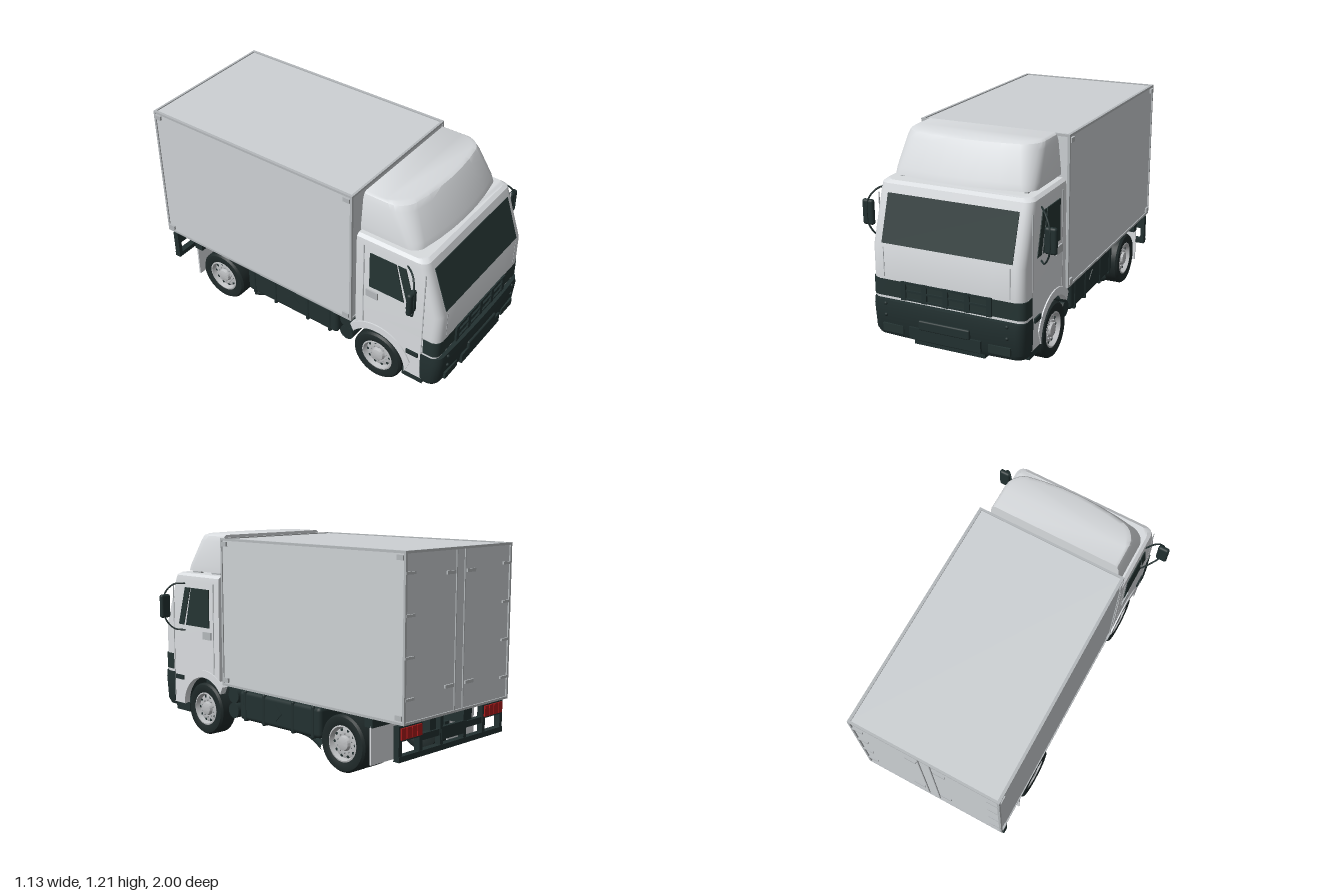
import * as THREE from 'three';
import { toCreasedNormals } from 'three/addons/utils/BufferGeometryUtils.js';
import { RoundedBoxGeometry } from 'three/addons/geometries/RoundedBoxGeometry.js';

const mat = (name, color, side = THREE.FrontSide) =>
  Object.assign(new THREE.MeshStandardMaterial({ color, side }), { name });
const M = {
  cab: mat('cab paint', 0xd9dcdf),
  box: mat('cargo panel', 0xcdd1d4),
  trim: mat('grey trim', 0xb4b8bb),
  rim: mat('wheel rim', 0xbcbec0, THREE.DoubleSide),
  dark: mat('dark plastic', 0x223030),
  glass: mat('tinted glass', 0x253433),
  tire: mat('tire rubber', 0x1f2929),
  red: mat('red lamp', 0xa81a1a),
};

const V = (x, y, z) => new THREE.Vector3(x, y, z);

function add(parent, name, geo, material, x = 0, y = 0, z = 0) {
  const m = new THREE.Mesh(geo, material);
  m.name = name;
  m.position.set(x, y, z);
  parent.add(m);
  return m;
}

// box given by its min and max on every axis
const block = (p, name, material, x0, x1, y0, y1, z0, z1) =>
  add(p, name, new THREE.BoxGeometry(Math.abs(x1 - x0), y1 - y0, Math.abs(z1 - z0)), material,
    (x0 + x1) / 2, (y0 + y1) / 2, (z0 + z1) / 2);

// stacked plan sections [y, halfWidth, zFront, zBack, cornerRadius, bow], rounded at the front
function loft(levels, crease = 0.5) {
  const pos = [], idx = [];
  let n = 0;
  for (const [y, w, zf, zb, r, bow = 0] of levels) {
    const ring = [];
    for (let i = 0; i <= 5; i++) {
      const a = Math.PI - (i / 5) * Math.PI / 2;
      ring.push([-(w - r) + r * Math.cos(a), zf - r + r * Math.sin(a)]);
    }
    for (let i = 1; i < 6; i++) ring.push([(w - r) * (i / 3 - 1), zf]);
    for (let i = 0; i <= 5; i++) {
      const a = (1 - i / 5) * Math.PI / 2;
      ring.push([w - r + r * Math.cos(a), zf - r + r * Math.sin(a)]);
    }
    for (const q of ring) q[1] -= bow * (q[0] / w) ** 2;
    ring.push([w, zb], [-w, zb]);
    n = ring.length;
    for (const [x, z] of ring) pos.push(x, y, z);
  }
  const top = (levels.length - 1) * n;
  for (let i = 0; i < levels.length - 1; i++) for (let j = 0; j < n; j++) {
    const a = i * n + j, b = i * n + (j + 1) % n;
    idx.push(a, b, b + n, a, b + n, a + n);
  }
  for (let j = 1; j < n - 1; j++) idx.push(top, top + j, top + j + 1, 0, j + 1, j);
  const g = new THREE.BufferGeometry();
  g.setAttribute('position', new THREE.Float32BufferAttribute(pos, 3));
  g.setIndex(idx);
  return toCreasedNormals(g, crease);
}

// side plate: shape drawn as (z, y), centred on x = c
function plate(shape, c, depth) {
  const s = Array.isArray(shape) ? new THREE.Shape(shape.map(p => new THREE.Vector2(...p))) : shape;
  return new THREE.ExtrudeGeometry(s, { depth, bevelEnabled: false, curveSegments: 20 })
    .rotateY(-Math.PI / 2).translate(c + depth / 2, 0, 0);
}

const tube = (pts, r) => new THREE.TubeGeometry(new THREE.CatmullRomCurve3(pts), 28, r, 10, false);
const lathe = pts => toCreasedNormals(
  new THREE.LatheGeometry(pts.map(p => new THREE.Vector2(...p)), 40).rotateZ(-Math.PI / 2), 0.6);

function wheel(parent, name, s, z, dual) {
  const g = new THREE.Group();
  g.name = name;
  g.position.set(s * 0.383, 0.157, z);
  if (s < 0) g.rotation.y = Math.PI;
  parent.add(g);
  const tireGeo = lathe([[0.098, -0.052], [0.125, -0.062], [0.147, -0.058], [0.157, -0.045],
    [0.157, 0.045], [0.147, 0.058], [0.125, 0.062], [0.098, 0.052], [0.098, -0.052]]);
  const rimGeo = lathe([[0.098, -0.05], [0.09, 0], [0.1, 0.054], [0.092, 0.056], [0.082, 0.03],
    [0.066, 0.036], [0.042, 0.034], [0.036, 0.052], [0.022, 0.056], [0.001, 0.057]]);
  for (let i = 0; i < (dual ? 2 : 1); i++) {
    add(g, 'tire', tireGeo, M.tire, -i * 0.13);
    add(g, 'rim', rimGeo, M.rim, -i * 0.13);
  }
  for (let i = 0; i < 10; i++) {
    const a = i * Math.PI / 5, b = a + Math.PI / 10;
    add(g, 'wheelBolt', new THREE.CylinderGeometry(0.005, 0.005, 0.012, 6).rotateZ(Math.PI / 2), M.trim,
      0.038, 0.052 * Math.cos(a), 0.052 * Math.sin(a));
    add(g, 'rimHole', new THREE.CylinderGeometry(0.008, 0.008, 0.006, 10).rotateZ(Math.PI / 2), M.dark,
      0.033, 0.073 * Math.cos(b), 0.073 * Math.sin(b));
  }
}

function buildCab(p) {
  add(p, 'cabShell', loft([[0.46, 0.443, 0.963, 0.43, 0.05], [0.64, 0.443, 0.963, 0.43, 0.05],
    [0.925, 0.441, 0.867, 0.43, 0.05], [0.955, 0.438, 0.857, 0.43, 0.05], [0.97, 0.42, 0.835, 0.43, 0.05]]), M.cab);
  add(p, 'windshield', new THREE.BoxGeometry(0.755, 0.264, 0.008), M.glass, 0, 0.785, 0.915).rotation.x = -0.323;
  // roof air deflector on small feet
  add(p, 'roofDeflector', loft([[0.985, 0.41, 0.825, 0.435, 0.06, 0.05], [1.02, 0.41, 0.815, 0.435, 0.07, 0.05],
    [1.17, 0.395, 0.74, 0.435, 0.09, 0.05], [1.2, 0.385, 0.722, 0.435, 0.09, 0.05],
    [1.21, 0.37, 0.70, 0.435, 0.09, 0.05]], 0.6), M.cab);
  for (const x of [-0.36, -0.14, 0.14, 0.36]) for (const z of [0.5, 0.68])
    block(p, 'deflectorFoot', M.trim, x - 0.01, x + 0.01, 0.965, 0.99, z, z + 0.08);
  // headlamp and grille band
  add(p, 'frontBand', loft([[0.345, 0.443, 0.955, 0.86, 0.04], [0.465, 0.443, 0.955, 0.86, 0.04]]), M.cab);
  add(p, 'headlampBand', loft([[0.365, 0.446, 0.962, 0.872, 0.04], [0.462, 0.446, 0.962, 0.872, 0.04]]), M.glass);
  for (let i = 0; i < 5; i++)
    block(p, 'grilleBar', M.dark, -0.264 + i * 0.125, -0.236 + i * 0.125, 0.362, 0.466, 0.955, 0.974);
  for (const y of [0.364, 0.41, 0.454]) block(p, 'grilleSlat', M.dark, -0.26, 0.26, y, y + 0.011, 0.955, 0.972);
  // bumper
  add(p, 'bumper', loft([[0.14, 0.435, 0.965, 0.87, 0.05, 0.015], [0.17, 0.445, 0.98, 0.865, 0.05, 0.015],
    [0.31, 0.447, 0.992, 0.86, 0.05, 0.015], [0.348, 0.445, 0.988, 0.86, 0.05, 0.015]]), M.dark);
  block(p, 'bumperPlate', M.dark, -0.21, 0.21, 0.16, 0.225, 0.96, 0.993);
  add(p, 'numberPlateHolder', new RoundedBoxGeometry(0.3, 0.055, 0.02, 2, 0.008), M.dark, 0, 0.248, 0.99);
  block(p, 'bumperStep', M.dark, -0.21, 0.21, 0.105, 0.145, 0.86, 0.94);
  block(p, 'cabFloor', M.dark, -0.41, 0.41, 0.39, 0.462, 0.44, 0.87);
  block(p, 'engine', M.dark, -0.2, 0.2, 0.14, 0.4, 0.36, 0.86);

  for (const s of [1, -1]) {
    // lower side with wheel arch
    const side = new THREE.Shape();
    side.moveTo(0.43, 0.47);
    side.lineTo(0.43, 0.283);
    side.absarc(0.575, 0.16, 0.19, Math.PI - 0.703, 0, true);
    side.lineTo(0.87, 0.16);
    side.lineTo(0.87, 0.47);
    add(p, 'lowerSide', plate(side, s * 0.428, 0.03), M.cab);
    const lip = new THREE.Shape();
    lip.absarc(0.575, 0.16, 0.235, 0.35, 2.42, false);
    lip.absarc(0.575, 0.16, 0.19, 2.52, 0.0, true);
    add(p, 'archLip', plate(lip, s * 0.43, 0.04), M.cab);
    const liner = new THREE.CylinderGeometry(0.195, 0.195, 0.22, 24, 1, true, Math.PI * 0.04, Math.PI * 0.76);
    const linerMesh = add(p, 'archLiner', liner.rotateZ(Math.PI / 2), M.rim, s * 0.31, 0.16, 0.575);
    linerMesh.rotation.x = -Math.PI / 2 + 0.12;
    linerMesh.visible = false;
    p.remove(linerMesh);
    // windows and door details
    add(p, 'quarterWindow', plate([[0.81, 0.655], [0.76, 0.655], [0.695, 0.885], [0.743, 0.885]], s * 0.443, 0.008), M.glass);
    add(p, 'doorWindow', plate([[0.74, 0.655], [0.519, 0.655], [0.519, 0.885], [0.684, 0.885]], s * 0.443, 0.008), M.glass);
    for (const [z, y0, y1] of [[0.48, 0.38, 0.92], [0.862, 0.2, 0.9]])
      block(p, 'doorSeam', M.trim, s * 0.441, s * 0.445, y0, y1, z - 0.003, z + 0.003);
    block(p, 'doorHandle', M.trim, s * 0.44, s * 0.452, 0.585, 0.63, 0.5, 0.575);
    block(p, 'sideLamp', M.dark, s * 0.44, s * 0.452, 0.31, 0.337, 0.77, 0.845);
    block(p, 'frontSeam', M.trim, s * 0.364, s * 0.368, 0.475, 0.64, 0.96, 0.965);
    block(p, 'fogLamp', M.glass, s * 0.25, s * 0.375, 0.17, 0.215, 0.95, 0.985);
    block(p, 'cabStep', M.dark, s * 0.3, s * 0.43, 0.11, 0.165, 0.74, 0.87);
    for (const y of [0.265, 0.33]) add(p, 'bumperBolt', new THREE.SphereGeometry(0.01, 10, 8), M.dark, s * 0.355, y, 0.98);
    // mirror on a bowed arm
    add(p, 'mirror', new RoundedBoxGeometry(0.068, 0.143, 0.03, 3, 0.014), M.dark, s * 0.53, 0.77, 0.835);
    add(p, 'mirrorArm', tube([V(s * 0.435, 0.91, 0.745), V(s * 0.485, 0.9, 0.81), V(s * 0.525, 0.84, 0.845),
      V(s * 0.525, 0.7, 0.845), V(s * 0.485, 0.632, 0.81), V(s * 0.435, 0.622, 0.745)], 0.005), M.dark);
  }
}

function buildCargo(p) {
  block(p, 'cargoBody', M.box, -0.44, 0.44, 0.335, 1.19, -0.99, 0.395);
  // edge rails
  for (const s of [1, -1]) {
    for (const y of [0.33, 1.183]) block(p, 'sideRail', M.trim, s * 0.43, s * 0.446, y, y + 0.013, -0.997, 0.4);
    for (const z of [-0.998, 0.388]) block(p, 'cornerPost', M.trim, s * 0.432, s * 0.446, 0.33, 1.196, z, z + 0.013);
    for (const y of [0.352, 1.15]) for (const z of [-0.985, 0.345])
      block(p, 'cornerPlate', M.trim, s * 0.438, s * 0.452, y, y + 0.026, z, z + 0.042);
    // rear door hardware
    for (const y of [0.45, 0.66, 0.87, 1.08]) block(p, 'hinge', M.trim, s * 0.37, s * 0.44, y, y + 0.014, -1, -0.988);
    for (const y of [0.47, 1.06]) block(p, 'latch', M.trim, s * 0.05, s * 0.12, y, y + 0.018, -1, -0.988);
    block(p, 'doorEdge', M.trim, s * 0.032, s * 0.038, 0.343, 1.184, -0.996, -0.988);
  }
  for (const y of [0.33, 1.183]) for (const z of [-0.998, 0.388])
    block(p, 'crossRail', M.trim, -0.44, 0.44, y, y + 0.013, z, z + 0.013);
}

function buildChassis(p) {
  const cyl = (name, r, len, axis, x, y, z) => {
    const g = new THREE.CylinderGeometry(r, r, len, 20);
    return add(p, name, axis === 'x' ? g.rotateZ(Math.PI / 2) : g.rotateX(Math.PI / 2), M.dark, x, y, z);
  };
  for (const z of [-0.75, -0.4, -0.1, 0.2]) block(p, 'crossMember', M.dark, -0.16, 0.16, 0.24, 0.31, z - 0.02, z + 0.02);
  cyl('frontAxle', 0.03, 0.7, 'x', 0, 0.157, 0.575);
  cyl('rearAxle', 0.035, 0.7, 'x', 0, 0.157, -0.57);
  add(p, 'differential', new THREE.SphereGeometry(0.075, 20, 14), M.dark, 0, 0.157, -0.57);
  cyl('driveShaft', 0.022, 0.95, 'z', 0, 0.18, -0.1);
  for (const s of [1, -1]) {
    block(p, 'chassisRail', M.dark, s * 0.13, s * 0.18, 0.23, 0.325, -0.95, 0.8);
    // side tank with straps and a diamond badge plate
    add(p, 'sideTank', new RoundedBoxGeometry(0.2, 0.175, 0.67, 3, 0.025), M.dark, s * 0.32, 0.228, -0.05);
    for (const z of [-0.33, -0.17, 0.07, 0.23])
      add(p, 'tankStrap', new RoundedBoxGeometry(0.212, 0.185, 0.022, 2, 0.01), M.dark, s * 0.32, 0.228, z);
    add(p, 'tankDiamond', plate([[-0.085, 0.23], [-0.035, 0.18], [0.015, 0.23], [-0.035, 0.28]], s * 0.421, 0.008), M.dark);
    for (const y of [0.18, 0.268]) cyl('airCylinder', 0.045, 0.2, 'x', s * 0.31, y, 0.345);
    add(p, 'exhaustPipe', tube([V(s * 0.27, 0.115, 0.35), V(s * 0.27, 0.115, 0), V(s * 0.28, 0.11, -0.16),
      V(s * 0.37, 0.09, -0.37)], 0.022), M.dark);
    block(p, 'leafSpring', M.dark, s * 0.14, s * 0.18, 0.19, 0.215, -0.8, -0.3);
    // rear fender bracket, flap and lamps
    block(p, 'flapBracket', M.dark, s * 0.18, s * 0.44, 0.28, 0.325, -0.785, -0.73);
    block(p, 'mudFlap', M.cab, s * 0.2, s * 0.44, 0.08, 0.3, -0.775, -0.765);
    block(p, 'lampHousing', M.dark, s * 0.26, s * 0.44, 0.24, 0.32, -0.965, -0.93);
    for (let i = 0; i < 4; i++)
      block(p, 'tailLamp', M.red, s * (0.27 + i * 0.042), s * (0.306 + i * 0.042), 0.25, 0.31, -0.974, -0.96);
    for (const x of [0.1, 0.27, 0.432]) block(p, 'rearUpright', M.dark, s * (x - 0.012), s * (x + 0.012), 0.14, 0.32, -0.965, -0.93);
    wheel(p, 'frontWheel', s, 0.575, false);
    wheel(p, 'rearWheel', s, -0.57, true);
  }
  block(p, 'rearBumperBar', M.dark, -0.444, 0.444, 0.135, 0.165, -0.968, -0.93);
  block(p, 'rearMiddleBar', M.dark, -0.27, 0.27, 0.215, 0.25, -0.96, -0.93);
  block(p, 'rearPlate', M.dark, -0.1, 0.1, 0.19, 0.26, -0.968, -0.95);
}

export function createModel() {
  const model = new THREE.Group();
  model.name = 'boxTruck';
  for (const [name, build] of [['cab', buildCab], ['cargoBox', buildCargo], ['chassis', buildChassis]]) {
    const g = new THREE.Group();
    g.name = name;
    build(g);
    model.add(g);
  }
  return model;
}
